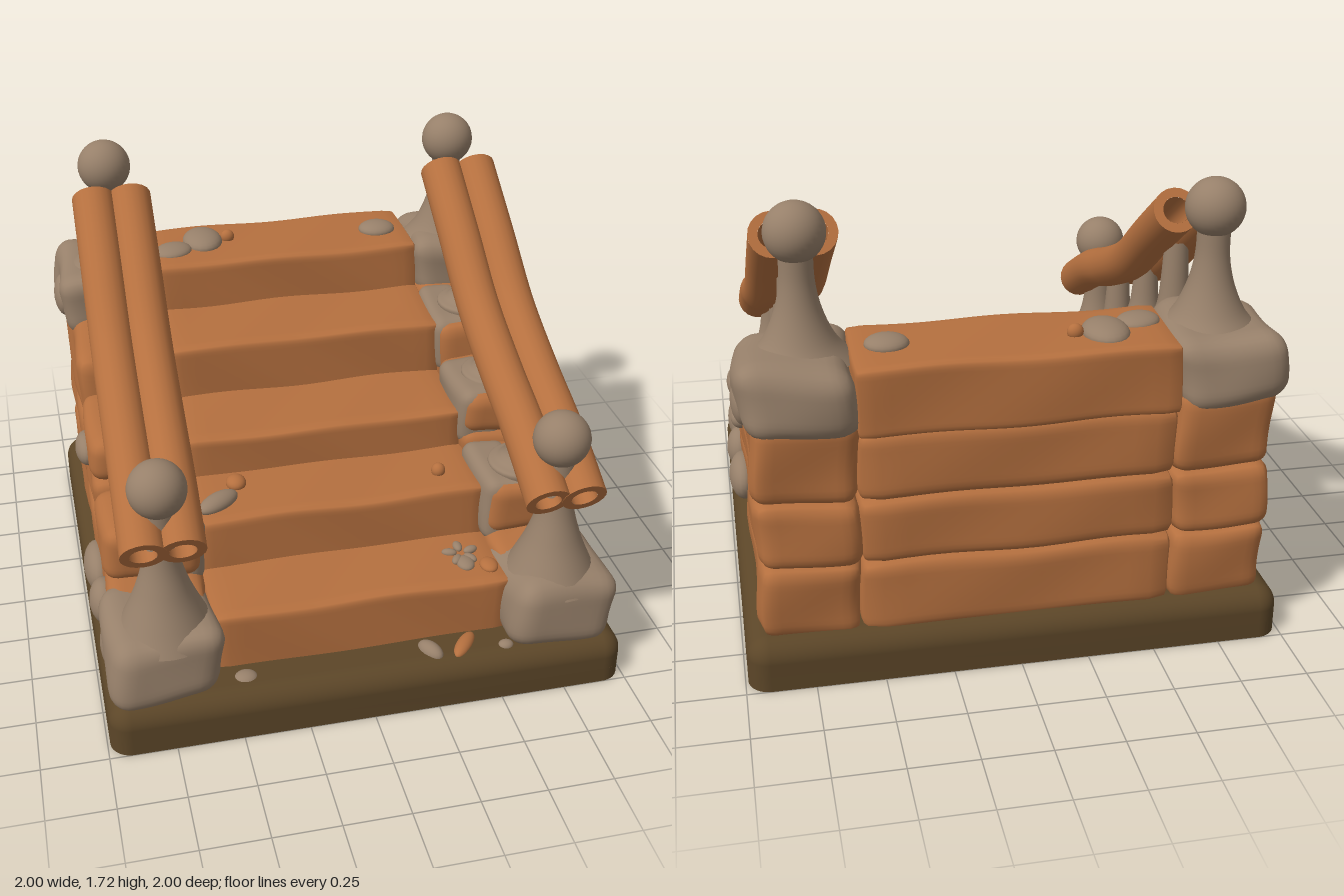
import * as THREE from 'three';
import { mergeVertices, toCreasedNormals } from 'three/addons/utils/BufferGeometryUtils.js';
import { RoundedBoxGeometry } from 'three/addons/geometries/RoundedBoxGeometry.js';

export function createModel() {
  const model = new THREE.Group();
  model.name = 'staircase';
  const material = (name, color) => {
    const m = new THREE.MeshStandardMaterial({ color });
    m.name = name;
    return m;
  };
  const clay = material('orange clay', 0xb5703f);
  const stone = material('grey stone', 0x97806a);
  const earth = material('dark earth', 0x5c4628);
  const clayInside = clay.clone();
  clayInside.side = THREE.DoubleSide;

  const add = (name, geo, mat, x = 0, y = 0, z = 0) => {
    const mesh = new THREE.Mesh(geo, mat);
    mesh.name = name;
    mesh.position.set(x, y, z);
    model.add(mesh);
    return mesh;
  };

  // Hand-shaped block between two corners: rounded edges plus a gentle wobble
  const block = (name, mat, [x0, x1], [y0, y1], [z0, z1], r, wobble = 0.008, seg = 14) => {
    const size = [Math.abs(x1 - x0), y1 - y0, Math.abs(z1 - z0)];
    const centre = new THREE.Vector3((x0 + x1) / 2, (y0 + y1) / 2, (z0 + z1) / 2);
    let geo = new THREE.BoxGeometry(...size, seg, seg, seg);
    geo.deleteAttribute('uv');
    geo.deleteAttribute('normal');
    geo = mergeVertices(geo);
    const half = new THREE.Vector3(...size).multiplyScalar(0.5).subScalar(r);
    const low = half.clone().negate();
    const p = geo.attributes.position;
    const v = new THREE.Vector3(), inner = new THREE.Vector3();
    for (let i = 0; i < p.count; i++) {
      v.fromBufferAttribute(p, i);
      inner.copy(v).clamp(low, half);
      v.sub(inner).setLength(r).add(inner);
      const a = v.x + centre.x, b = v.y + centre.y, c = v.z + centre.z;
      v.x += wobble * Math.sin(13 * b + 9 * c);
      v.y += wobble * Math.sin(10 * a + 8 * c);
      v.z += wobble * Math.sin(11 * b + 8 * a);
      p.setXYZ(i, v.x, v.y, v.z);
    }
    geo.computeVertexNormals();
    return add(name, geo, mat, centre.x, centre.y, centre.z);
  };

  const pebble = (name, mat, [x, y, z], [rx, ry, rz], turn = 0) => {
    const mesh = add(name, new THREE.SphereGeometry(1, 20, 14), mat, x, y, z);
    mesh.scale.set(rx, ry, rz);
    mesh.rotation.y = turn;
  };

  const lathe = (name, points, x, y, z) => {
    const curve = new THREE.SplineCurve(points.map(([r, h]) => new THREE.Vector2(r, h)));
    add(name, new THREE.LatheGeometry(curve.getPoints(24), 28), stone, x, y, z);
  };

  // Base: rounded upper slab over a lower slab with a slot in its underside
  const slab = new RoundedBoxGeometry(1.98, 0.32, 2, 6, 0.08);
  slab.translate(0, 0.03, 0);
  const sp = slab.attributes.position;
  for (let i = 0; i < sp.count; i++) sp.setY(i, Math.max(sp.getY(i), 0.06));
  add('baseTop', slab, earth);

  const outline = new THREE.Shape();
  const corners = [[0.91, 0.92, 0], [-0.91, 0.92, 1], [-0.91, -0.92, 2], [0.91, -0.92, 3]];
  for (const [x, y, q] of corners) outline.absarc(x, y, 0.08, q * Math.PI / 2, (q + 1) * Math.PI / 2);
  const slot = new THREE.Path();
  slot.moveTo(-0.45, 0.18).lineTo(-0.42, 0.47).lineTo(0.38, 0.47).lineTo(0.38, 0.18).closePath();
  outline.holes.push(slot);
  let lower = new THREE.ExtrudeGeometry(outline, { depth: 0.06, bevelEnabled: false, curveSegments: 8 });
  lower.rotateX(Math.PI / 2).translate(0, 0.06, 0);
  lower = toCreasedNormals(lower, 0.6);
  add('baseBottom', lower, earth);

  // Treads: [bottom, top, front, back]
  const treads = [
    [0.15, 0.42, 0.82, 0.3], [0.36, 0.63, 0.5, 0], [0.56, 0.79, 0.18, -0.4],
    [0.72, 1.01, -0.18, -0.7], [0.94, 1.205, -0.55, -0.96],
  ];
  for (const [y0, y1, z0, z1] of treads)
    block('tread', clay, [-0.57, 0.57], [y0, y1], [z1, z0], 0.025, 0.004, 20);

  // Courses closing the back beneath the top tread
  for (const [y0, y1] of [[0.16, 0.45], [0.44, 0.7], [0.69, 0.96]])
    block('backCourse', clay, [-0.57, 0.57], [y0, y1], [-0.95, -0.5], 0.05, 0.004);

  // Side walls, posts and handrails, the same on both sides
  for (const s of [1, -1]) {
    const across = (a, b) => (s > 0 ? [a, b] : [-b, -a]);
    const wall = [
      [0.16, 0.46, -0.95, 0.7], [0.44, 0.705, -0.95, -0.13], [0.44, 0.7, -0.18, 0.24],
      [0.44, 0.67, 0.21, 0.575], [0.68, 0.87, -0.19, 0.225], [0.69, 1.02, -0.95, -0.14],
    ];
    for (const [y0, y1, z0, z1] of wall)
      block('sideWallBlock', clay, across(0.56, 0.935), [y0, y1], [z0, z1], 0.06);

    // Stone linings on the inner edge of each wall step
    for (const [y0, y1, z0, z1] of [[0.4, 0.675, 0.22, 0.56], [0.62, 0.875, -0.15, 0.21], [0.78, 1.025, -0.52, -0.16]])
      block('innerStone', stone, across(0.55, 0.74), [y0, y1], [z0, z1], 0.05);

    block('frontCornerStone', stone, across(0.55, 0.965), [0.16, 0.45], [0.55, 0.965], 0.08, 0.014);
    block('backCornerStone', stone, across(0.56, 0.965), [0.94, 1.21], [-0.965, -0.5], 0.08, 0.014);

    // Newel posts with ball tops
    lathe('frontPost', [[0.19, 0.38], [0.15, 0.46], [0.1, 0.58], [0.065, 0.72], [0.06, 0.92]], s * 0.745, 0, 0.77);
    lathe('backPost', [[0.19, 1.16], [0.13, 1.23], [0.085, 1.33], [0.062, 1.44], [0.06, 1.56]], s * 0.735, 0, -0.71);
    add('frontPostBall', new THREE.SphereGeometry(0.107, 32, 20), stone, s * 0.745, 0.99, 0.77);
    add('backPostBall', new THREE.SphereGeometry(0.107, 32, 20), stone, s * 0.735, 1.615, -0.71);

    // Balusters with flared feet
    for (const [y, z, h] of [[0.66, 0.42, 0.33], [0.86, 0.04, 0.29], [1.01, -0.32, 0.35]])
      lathe('baluster', [[0.13, 0], [0.13, 0.025], [0.09, 0.045], [0.06, 0.11], [0.045, h]], s * 0.735, y, z);

    // Paired hollow rails
    for (const [front, back] of [[0.675, 0.655], [0.815, 0.8]]) {
      const side = [[0.865, 0.78], [0.6, 0.92], [0.32, 1.03], [0.02, 1.17], [-0.25, 1.36], [-0.53, 1.55]];
      const path = new THREE.CatmullRomCurve3(side.map(([z, y], i) =>
        new THREE.Vector3(s * (front + (back - front) * i / 5), y, z)));
      add('handrail', new THREE.TubeGeometry(path, 40, 0.085, 20), clay);
      add('handrailBore', new THREE.TubeGeometry(path, 30, 0.05, 16), clayInside);
      for (const t of [0, 1]) {
        const end = path.getPoint(t);
        const rim = add('handrailRim', new THREE.RingGeometry(0.05, 0.085, 20), clayInside, end.x, end.y, end.z);
        rim.lookAt(end.clone().addScaledVector(path.getTangent(t), t ? 1 : -1));
      }
    }

    // Pebbles set into the outer wall: y, z, height radius, length radius, depth
    for (const [y, z, ry, rz, rx] of [
      [0.275, 0.695, 0.09, 0.1, 0.045], [0.27, 0.415, 0.092, 0.095, 0.06], [0.26, 0.175, 0.092, 0.13, 0.06],
      [0.745, 0.05, 0.062, 0.088, 0.045], [0.65, -0.09, 0.04, 0.042, 0.04], [1.035, -0.745, 0.088, 0.1, 0.045],
    ]) pebble('wallPebble', stone, [s * 0.94, y, z], [rx, ry, rz]);
  }

  // Loose pebbles and clay lumps on the treads and base
  pebble('topPebble', stone, [-0.47, 1.205, -0.71], [0.085, 0.03, 0.07], 0.4);
  pebble('topPebble', stone, [-0.33, 1.205, -0.79], [0.085, 0.045, 0.11]);
  pebble('topPebble', stone, [0.44, 1.205, -0.75], [0.08, 0.035, 0.07]);
  pebble('topClayLump', clay, [-0.22, 1.215, -0.79], [0.03, 0.03, 0.025]);
  pebble('treadPebble', stone, [-0.475, 0.635, 0.38], [0.095, 0.035, 0.045], 0.6);
  pebble('treadClayLump', clay, [-0.385, 0.635, 0.26], [0.04, 0.03, 0.045]);
  pebble('treadClayLump', clay, [0.41, 0.645, 0.365], [0.028, 0.03, 0.028]);
  for (let i = 0; i < 5; i++) {
    const a = Math.PI / 2 + i * Math.PI * 0.4;
    pebble('petal', stone, [0.43 + 0.045 * Math.cos(a), 0.425, 0.63 - 0.045 * Math.sin(a)], [0.03, 0.015, 0.018], a);
  }
  pebble('treadPebble', stone, [0.43, 0.42, 0.69], [0.035, 0.02, 0.045]);
  pebble('treadClayLump', clay, [0.515, 0.42, 0.72], [0.035, 0.02, 0.045]);
  pebble('basePebble', stone, [-0.47, 0.18, 0.88], [0.045, 0.025, 0.04]);
  pebble('basePebble', stone, [0.24, 0.185, 0.89], [0.035, 0.035, 0.06], 0.5);
  pebble('baseClayLump', clay, [0.375, 0.185, 0.885], [0.08, 0.025, 0.03], 0.9);
  pebble('basePebble', stone, [0.53, 0.185, 0.92], [0.03, 0.02, 0.025]);
  return model;
}
